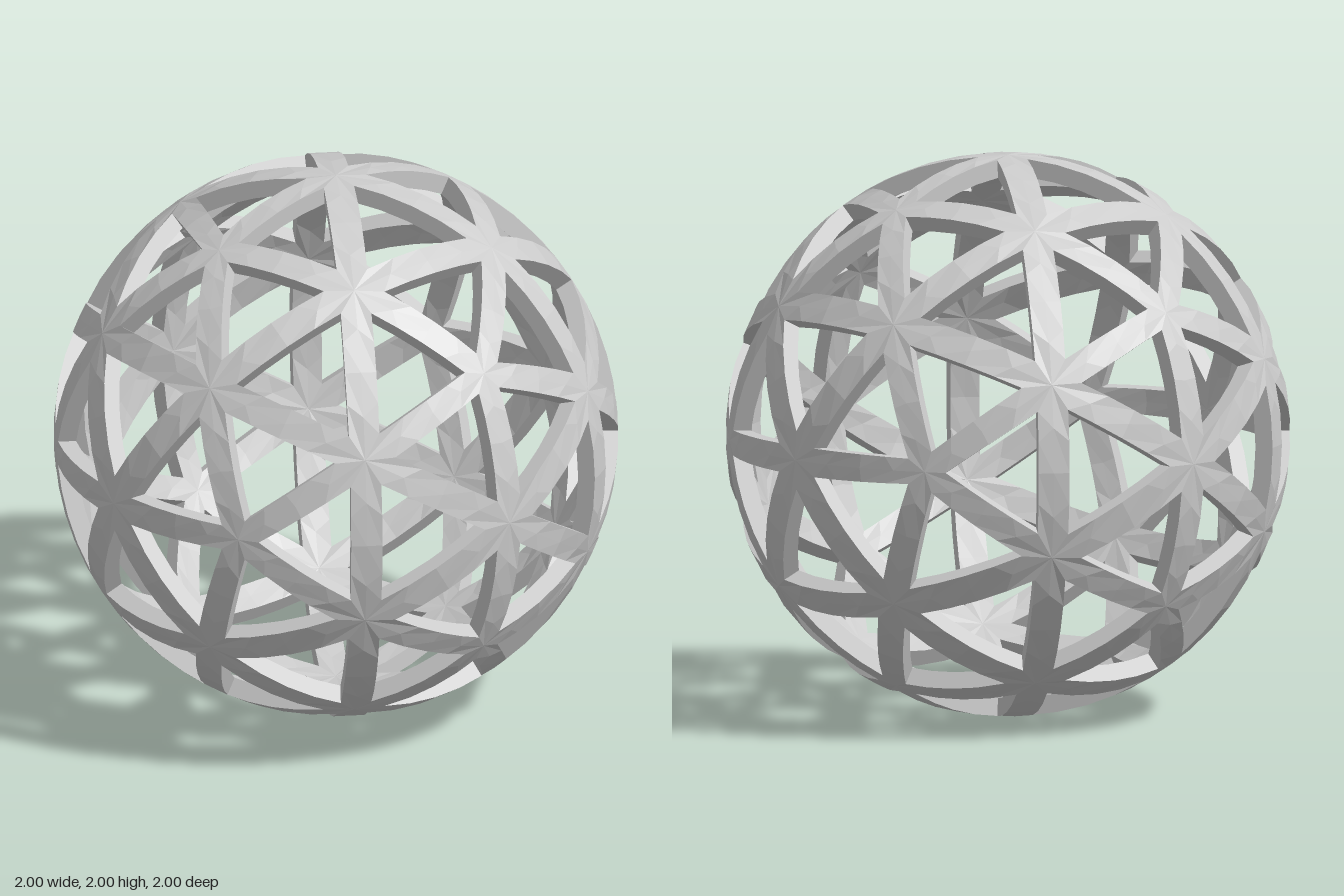
import * as THREE from 'three';

const OUTER = 1;       // outer radius of the shell
const INNER = 0.935;   // inner radius of the shell
const HALF_BAR = 0.046; // half bar width, measured on the flat icosahedron face
const STEPS = 4;       // facets along each bar

// Triangular frame: a curved triangle with a triangular window
function addFrame(out, corners) {
  const centre = new THREE.Vector3();
  corners.forEach(c => centre.addScaledVector(c, 1 / 3));
  const side = corners[0].distanceTo(corners[1]);
  const inset = HALF_BAR / (side * Math.sqrt(3) / 6);
  const windowCorners = corners.map(c => c.clone().lerp(centre, inset));

  const quad = (a, b, c, d) => {
    for (const p of [a, b, c, a, c, d]) out.push(p.x, p.y, p.z);
  };
  const along = (pts, k, t, r) =>
    pts[k].clone().lerp(pts[(k + 1) % 3], t).setLength(r);

  for (let k = 0; k < 3; k++) {
    for (let i = 0; i < STEPS; i++) {
      const t0 = i / STEPS, t1 = (i + 1) / STEPS;
      const [e0, e1, w0, w1] = [
        along(corners, k, t0, OUTER), along(corners, k, t1, OUTER),
        along(windowCorners, k, t0, OUTER), along(windowCorners, k, t1, OUTER)];
      const [f0, f1, v0, v1] = [e0, e1, w0, w1].map(p => p.clone().setLength(INNER));
      quad(e0, e1, w1, w0); // outside face
      quad(f1, f0, v0, v1); // inside face
      quad(w0, w1, v1, v0); // window wall
    }
  }
}

export function createModel() {
  const group = new THREE.Group();
  group.name = 'geodesicSphere';

  // Icosahedron faces, each split into four smaller triangles
  const ico = new THREE.IcosahedronGeometry(1, 0).rotateY(Math.PI / 2);
  const pos = ico.attributes.position;
  const verts = [];
  for (let f = 0; f < pos.count; f += 3) {
    const [a, b, c] = [0, 1, 2].map(k => new THREE.Vector3().fromBufferAttribute(pos, f + k));
    const mid = (p, q) => p.clone().add(q).multiplyScalar(0.5);
    const ab = mid(a, b), bc = mid(b, c), ca = mid(c, a);
    for (const tri of [[a, ab, ca], [ab, b, bc], [ca, bc, c], [ab, bc, ca]]) addFrame(verts, tri);
  }

  const geometry = new THREE.BufferGeometry();
  geometry.setAttribute('position', new THREE.Float32BufferAttribute(verts, 3));
  geometry.computeVertexNormals();

  const lattice = new THREE.Mesh(geometry,
    new THREE.MeshStandardMaterial({ color: 0xcccccc, flatShading: true }));
  lattice.name = 'latticeShell';
  lattice.position.y = 1;
  group.add(lattice);
  return group;
}
